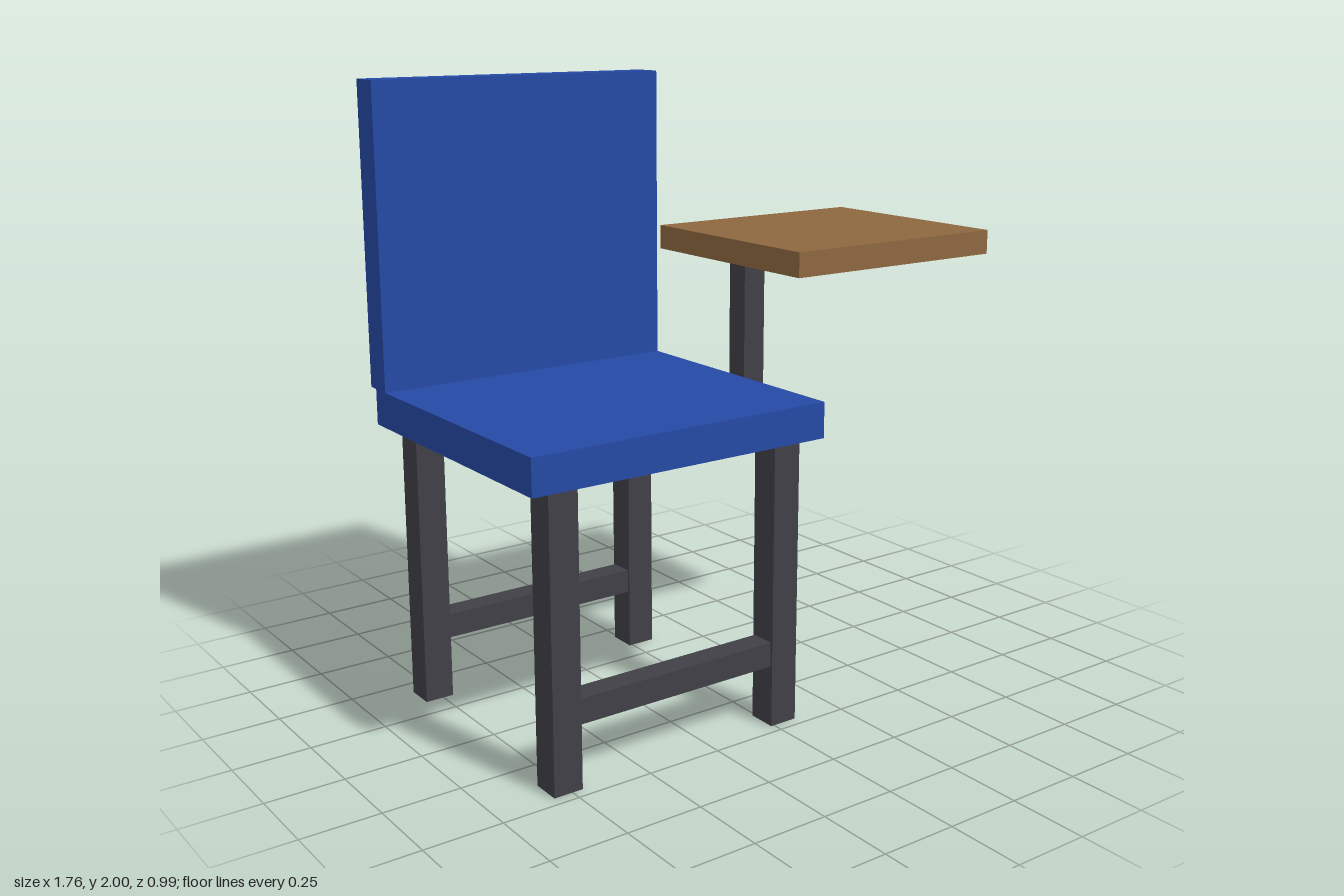
import * as THREE from 'three';

const BLUE = new THREE.MeshStandardMaterial({ color: 0x2549a4 });
const WOOD = new THREE.MeshStandardMaterial({ color: 0x8d683f });
const METAL = new THREE.MeshStandardMaterial({ color: 0x3f3f46 });

// Box given by its extents along each axis
function slab(name, material, [x0, x1], [y0, y1], [z0, z1]) {
  const mesh = new THREE.Mesh(new THREE.BoxGeometry(x1 - x0, y1 - y0, z1 - z0), material);
  mesh.position.set((x0 + x1) / 2, (y0 + y1) / 2, (z0 + z1) / 2);
  mesh.name = name;
  return mesh;
}

export function createModel() {
  const model = new THREE.Group();
  model.name = 'tabletArmChair';

  // Seat and backrest
  model.add(slab('seat', BLUE, [-0.88, 0.156], [0.925, 1.04], [-0.46, 0.495]));
  model.add(slab('backrest', BLUE, [-0.88, 0.156], [1.04, 2], [-0.495, -0.395]));

  // Legs, with a cross rail joining each front and back pair
  const legX = [-0.763, 0.037], half = 0.048;
  for (const [end, z] of [['front', 0.416], ['back', -0.384]]) {
    for (const [side, x] of [['Right', legX[0]], ['Left', legX[1]]]) {
      model.add(slab(`${end}${side}Leg`, METAL, [x - half, x + half], [0, 0.925], [z - half, z + half]));
    }
    model.add(slab(`${end}Rail`, METAL, [legX[0] + half, legX[1] - half], [0.2, 0.28], [z - 0.04, z + 0.04]));
  }

  // Writing tablet on its side post
  model.add(slab('tabletPost', METAL, [0.156, 0.236], [0.963, 1.424], [0.017, 0.095]));
  model.add(slab('writingTablet', WOOD, [0.08, 0.877], [1.424, 1.502], [-0.265, 0.455]));

  return model;
}
